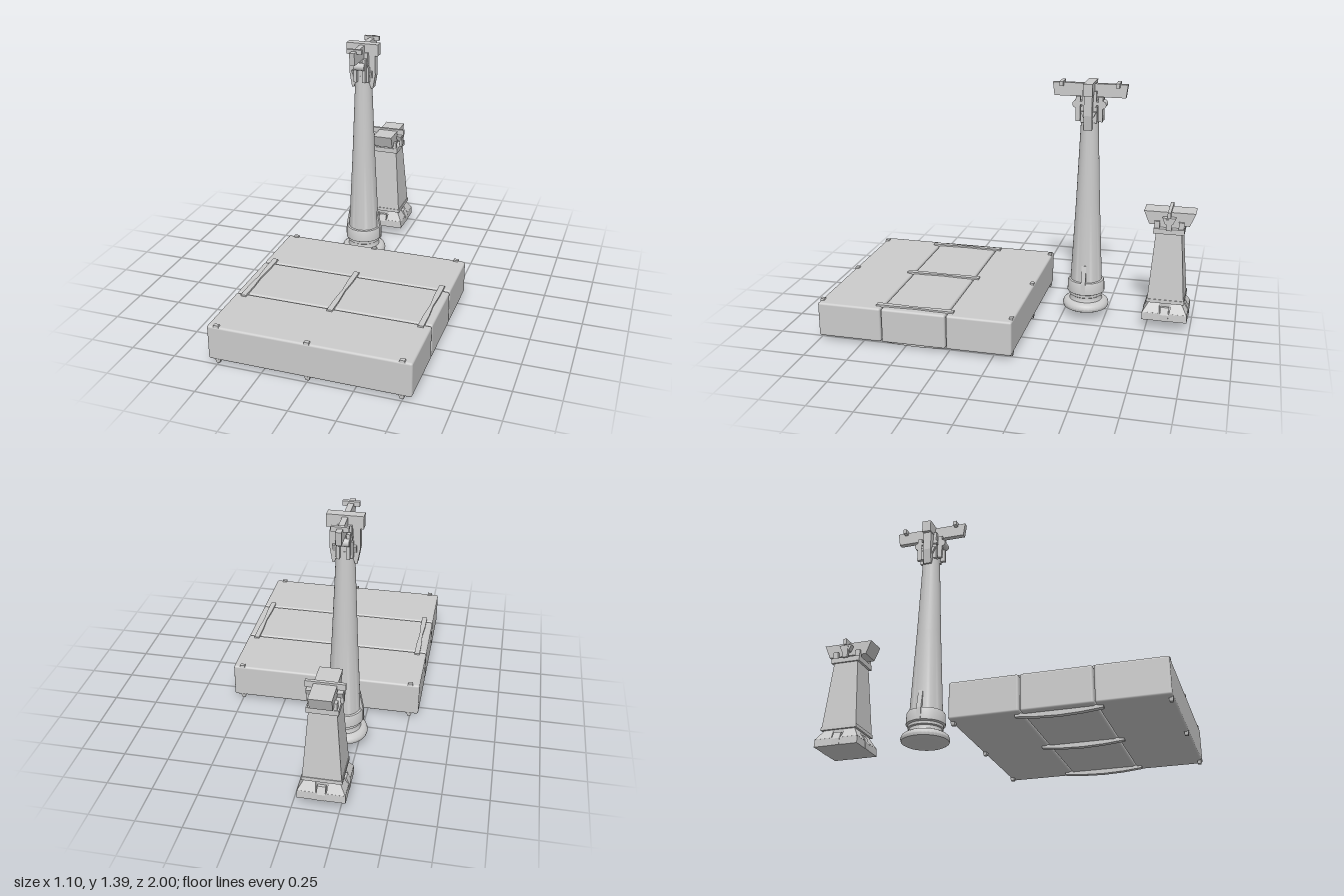
import * as THREE from 'three';
import { RoundedBoxGeometry } from 'three/addons/geometries/RoundedBoxGeometry.js';
import { toCreasedNormals } from 'three/addons/utils/BufferGeometryUtils.js';

const mat = new THREE.MeshStandardMaterial({ color: 0xcccccc });

function add(parent, name, geometry, x = 0, y = 0, z = 0) {
  const mesh = new THREE.Mesh(geometry, mat);
  mesh.name = name;
  mesh.position.set(x, y, z);
  parent.add(mesh);
  return mesh;
}

// Box standing on y = 0 whose bottom (w0 x d0) and top (w1 x d1) differ
function taper(w0, d0, w1, d1, h) {
  const g = new THREE.BoxGeometry(1, h, 1).translate(0, h / 2, 0);
  const p = g.attributes.position;
  for (let i = 0; i < p.count; i++) {
    const top = p.getY(i) > h / 2;
    p.setX(i, p.getX(i) * (top ? w1 : w0));
    p.setZ(i, p.getZ(i) * (top ? d1 : d0));
  }
  const flat = g.toNonIndexed();
  flat.computeVertexNormals();
  return flat;
}

// Outline in x and y, extruded evenly about z = 0
function plate(points, depth) {
  const shape = new THREE.Shape(points.map(([x, y]) => new THREE.Vector2(x, y)));
  return new THREE.ExtrudeGeometry(shape, { depth, bevelEnabled: false }).translate(0, 0, -depth / 2);
}

function createFloor() {
  const floor = new THREE.Group();
  floor.name = 'floor';
  for (const z of [0.075, 0.445, 0.815]) {
    add(floor, 'floorSlab', new RoundedBoxGeometry(1.1, 0.197, 0.364, 3, 0.012), 0, 0.1235, z);
  }
  // Waisted strap on the top, bowed strap underneath, clips at the outer edges
  const waist = new THREE.Shape([
    [-0.015, -0.22], [0.015, -0.22], [0.015, -0.11], [0.009, 0], [0.015, 0.11],
    [0.015, 0.22], [-0.015, 0.22], [-0.015, 0.11], [-0.009, 0], [-0.015, -0.11],
  ].map(([x, y]) => new THREE.Vector2(x, y)));
  const topStrap = new THREE.ExtrudeGeometry(waist, { depth: 0.014, bevelEnabled: false }).rotateX(-Math.PI / 2);
  const bow = plate([
    [-0.22, 0.03], [-0.22, 0.014], [-0.11, 0.004], [0, 0], [0.11, 0.004], [0.22, 0.014], [0.22, 0.03],
  ], 0.03).rotateY(Math.PI / 2);
  for (const x of [-0.497, 0, 0.497]) {
    add(floor, 'topStrap', topStrap, x, 0.217, 0.445);
    add(floor, 'bottomStrap', bow, x, 0, 0.445);
    for (const z of [-0.095, 0.985]) {
      add(floor, 'topClip', taper(0.03, 0.022, 0.026, 0.02, 0.014), x, 0.217, z);
      add(floor, 'bottomClip', taper(0.02, 0.018, 0.03, 0.022, 0.022), x, 0.008, z);
    }
  }
  return floor;
}

function createRoundColumn() {
  const column = new THREE.Group();
  column.name = 'roundColumn';
  column.position.set(-0.163, 0, -0.382);

  // Plinth, neck, collar and shaft in one turned profile
  const profile = [
    [0, 0.053], [0.118, 0.053], [0.13, 0.06], [0.134, 0.075], [0.128, 0.092], [0.115, 0.102],
    [0.095, 0.105], [0.09, 0.118], [0.09, 0.13], [0.097, 0.135], [0.097, 0.15], [0.108, 0.156],
    [0.106, 0.215], [0.101, 0.225], [0.091, 0.228], [0.068, 0.7], [0.048, 1.2], [0, 1.2],
  ].map(([r, y]) => new THREE.Vector2(r, y));
  add(column, 'shaft', toCreasedNormals(new THREE.LatheGeometry(profile, 40), 0.6));

  // Head block and the beams that cross on it
  add(column, 'headBlock', taper(0.092, 0.092, 0.092, 0.092, 0.09), 0, 1.165, 0);
  add(column, 'headCore', taper(0.075, 0.08, 0.075, 0.08, 0.09), 0, 1.25, 0);
  add(column, 'headBand', taper(0.084, 0.1, 0.084, 0.1, 0.018), 0, 1.265, 0);
  add(column, 'sideBeam', new THREE.BoxGeometry(0.19, 0.068, 0.052), 0, 1.356, 0);
  add(column, 'longBeam', taper(0.03, 0.4, 0.03, 0.42, 0.074), 0, 1.306, 0);

  for (const s of [-1, 1]) {
    // Fin at the foot
    const fin = plate([[0.07, 0.155], [0.112, 0.155], [0.109, 0.225], [0.088, 0.33], [0.07, 0.33]], 0.026);
    add(column, 'footFin', fin).rotation.y = s > 0 ? 0 : Math.PI;
    // Bracket under the side beam, with its tapering tongue
    const bracket = plate([
      [0.04, 1.165], [0.053, 1.125], [0.064, 1.125], [0.079, 1.21], [0.077, 1.33], [0.04, 1.33],
    ], 0.046);
    add(column, 'sideBracket', bracket).rotation.y = s > 0 ? 0 : Math.PI;
    add(column, 'bracketCheek', taper(0.022, 0.03, 0.022, 0.088, 0.06), s * 0.05, 1.17, 0);
    // Hangers and round corbels under the long beam
    for (const x of [-0.026, 0.026]) {
      add(column, 'hanger', new THREE.BoxGeometry(0.018, 0.14, 0.026), x, 1.24, s * 0.063);
    }
    add(column, 'corbel', new THREE.CylinderGeometry(0.022, 0.022, 0.065, 16).rotateZ(Math.PI / 2), 0, 1.265, s * 0.073);
    add(column, 'beamKey', new THREE.BoxGeometry(0.09, 0.026, 0.02), 0, 1.377, s * 0.157);
  }
  return column;
}

function createSquarePillar() {
  const pillar = new THREE.Group();
  pillar.name = 'squarePillar';
  pillar.position.set(-0.153, 0, -0.856);

  // Four splayed feet around a solid core
  add(pillar, 'baseSlab', taper(0.256, 0.256, 0.252, 0.252, 0.045), 0, 0.058, 0);
  add(pillar, 'baseCore', taper(0.19, 0.19, 0.19, 0.19, 0.09), 0, 0.09, 0);
  for (const x of [-1, 1]) for (const z of [-1, 1]) {
    const foot = taper(0.1, 0.1, 0.058, 0.058, 0.058);
    // Lean the top of each foot toward the pillar
    const p = foot.attributes.position;
    for (let i = 0; i < p.count; i++) {
      if (p.getY(i) > 0.02) p.setXYZ(i, p.getX(i) - x * 0.014, p.getY(i), p.getZ(i) - z * 0.014);
    }
    foot.computeVertexNormals();
    add(pillar, 'cornerFoot', foot, x * 0.077, 0.1, z * 0.077);
  }
  for (let i = 0; i < 4; i++) {
    const rib = plate([[0.08, 0.058], [0.13, 0.058], [0.13, 0.095], [0.112, 0.135], [0.08, 0.135]], 0.045);
    add(pillar, 'baseRib', rib).rotation.y = i * Math.PI / 2;
  }

  // Body with its bottom band and cap
  add(pillar, 'bottomBand', taper(0.214, 0.214, 0.212, 0.212, 0.02), 0, 0.158, 0);
  add(pillar, 'body', taper(0.206, 0.206, 0.144, 0.144, 0.4), 0, 0.172, 0);
  add(pillar, 'cap', taper(0.165, 0.172, 0.165, 0.172, 0.03), 0, 0.565, 0);
  add(pillar, 'headCore', taper(0.1, 0.12, 0.1, 0.12, 0.04), 0, 0.592, 0);

  // Long beam with sloping ends and the thin rod across it
  add(pillar, 'longBeam', taper(0.115, 0.225, 0.12, 0.288, 0.076), 0, 0.612, 0);
  add(pillar, 'crossRod', new THREE.BoxGeometry(0.206, 0.034, 0.018), 0, 0.682, 0);
  for (const s of [-1, 1]) {
    add(pillar, 'rodBlock', taper(0.03, 0.045, 0.03, 0.075, 0.035), s * 0.078, 0.628, 0);
    add(pillar, 'rodHanger', taper(0.016, 0.03, 0.022, 0.036, 0.066), s * 0.086, 0.59, 0);
    for (const z of [-1, 1]) {
      add(pillar, 'beamHanger', new THREE.BoxGeometry(0.024, 0.06, 0.03), s * 0.062, 0.605, z * 0.068);
    }
  }
  return pillar;
}

export function createModel() {
  const model = new THREE.Group();
  model.name = 'templeParts';
  model.add(createFloor(), createRoundColumn(), createSquarePillar());
  return model;
}
